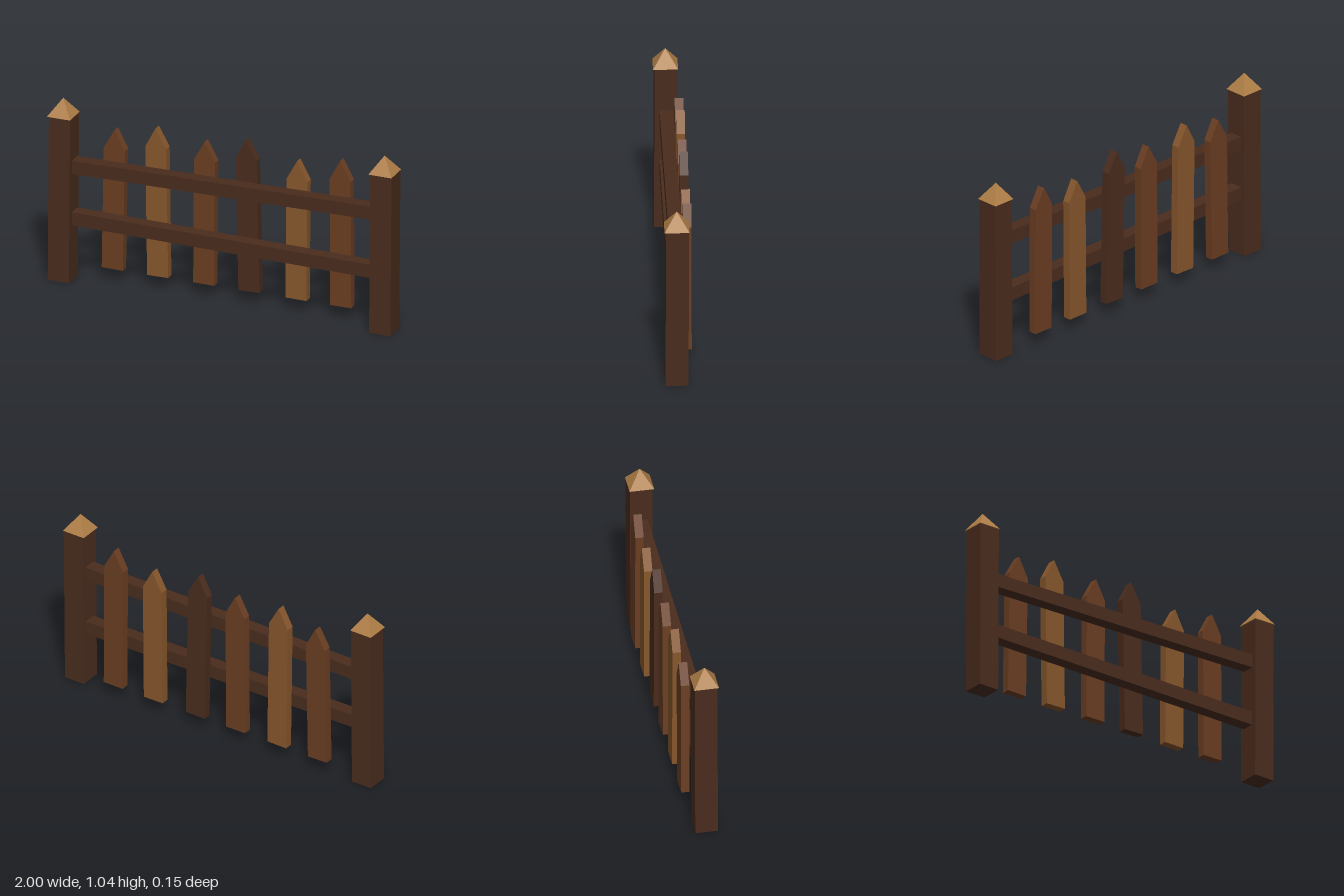
import * as THREE from 'three';

const material = (color) => new THREE.MeshStandardMaterial({ color, flatShading: true });

export function createModel() {
  const fence = new THREE.Group();
  fence.name = 'picketFence';
  const dark = material(0x4a2c1d);
  const brown = material(0x6b3e22);
  const tan = material(0x87572c);
  const light = material(0xae7d45);

  const add = (name, geometry, mat, x, y, z) => {
    const mesh = new THREE.Mesh(geometry, mat);
    mesh.name = name;
    mesh.position.set(x, y, z);
    fence.add(mesh);
    return mesh;
  };

  // Slightly leaning posts with upright pyramid caps
  const posts = [
    { side: 'right', x: -0.932, height: 0.946, leanX: -0.002 },
    { side: 'left', x: 0.930, height: 0.918, leanX: -0.004 },
  ];
  for (const { side, x, height, leanX } of posts) {
    const post = add(`${side}Post`, new THREE.BoxGeometry(0.123, height, 0.123), dark, x, height / 2, 0.01);
    post.rotation.set(leanX, 0, -0.006);
    const cap = new THREE.ConeGeometry(0.067 * Math.SQRT2, 0.096, 4).rotateY(Math.PI / 4);
    add(`${side}PostCap`, cap, light, x, height + 0.048, 0.011);
  }

  // Two rails, each tilted a little
  const rails = [
    { name: 'upperRail', y: 0.671, tilt: 0.0115 },
    { name: 'lowerRail', y: 0.353, tilt: -0.0115 },
  ];
  for (const { name, y, tilt } of rails) {
    add(name, new THREE.BoxGeometry(1.74, 0.076, 0.073), dark, 0.001, y, 0.007).rotation.z = tilt;
  }

  // Pointed pickets behind the rails: foot x, tip x, tip y
  const foot = 0.077;
  const half = 0.061;
  const pickets = [
    [-0.666, -0.652, 0.885, brown],
    [-0.403, -0.415, 0.933, tan],
    [-0.136, -0.131, 0.902, brown],
    [0.126, 0.107, 0.951, dark],
    [0.398, 0.405, 0.878, tan],
    [0.658, 0.654, 0.920, brown],
  ];
  pickets.forEach(([footX, tipX, tipY, mat], i) => {
    const height = tipY - foot;
    const outline = new THREE.Shape([
      new THREE.Vector2(-half, 0),
      new THREE.Vector2(half, 0),
      new THREE.Vector2(half, height - 0.112),
      new THREE.Vector2(0, height),
      new THREE.Vector2(-half, height - 0.112),
    ]);
    const geometry = new THREE.ExtrudeGeometry(outline, { depth: 0.046, bevelEnabled: false });
    const picket = add(`picket${i + 1}`, geometry, mat, footX, foot, -0.076);
    picket.rotation.z = -Math.atan2(tipX - footX, height);
  });

  return fence;
}
